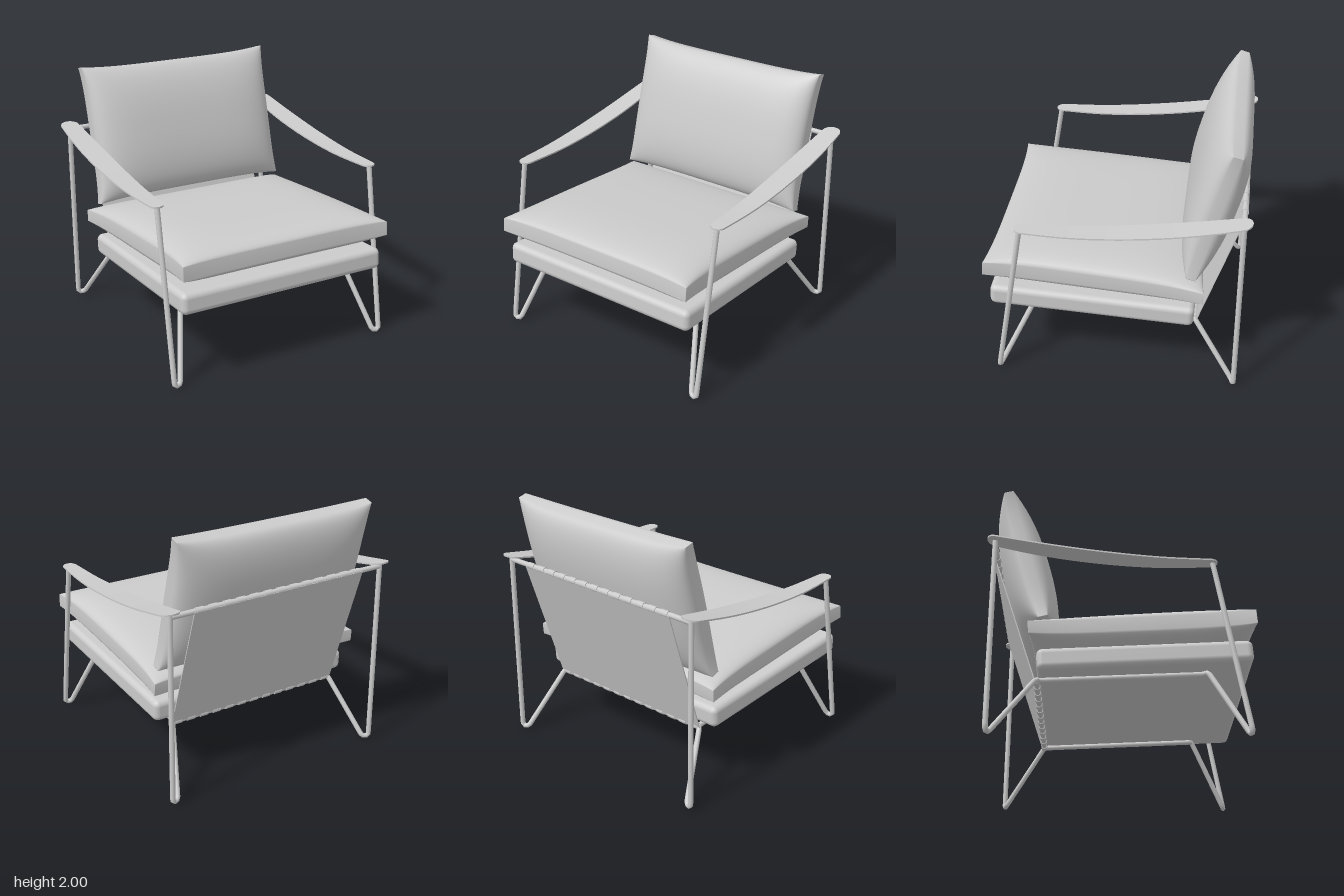
import * as THREE from 'three';
import { mergeVertices } from 'three/addons/utils/BufferGeometryUtils.js';
import { RoundedBoxGeometry } from 'three/addons/geometries/RoundedBoxGeometry.js';

const V = (x, y, z) => new THREE.Vector3(x, y, z);

// Stuffed cushion lying flat: thin rim, full middle, sides drawn in between the corners
function cushionGeometry({ w, l, h, rim, nu, nv, pinchX, pinchZ, wedgeX = 0, wedgeH = 0 }) {
  let g = new THREE.BoxGeometry(2, 2, 2, 32, 2, 32);
  g.deleteAttribute('uv');
  g.deleteAttribute('normal');
  g = mergeVertices(g);
  const p = g.attributes.position;
  for (let i = 0; i < p.count; i++) {
    const u = Math.sin(p.getX(i) * Math.PI / 2), v = Math.sin(p.getZ(i) * Math.PI / 2);
    const full = Math.sqrt(Math.max(0, (1 - Math.abs(u) ** nu) * (1 - Math.abs(v) ** nv)));
    const half = (rim + (h - rim) * full) * (1 + wedgeH * v);
    p.setXYZ(i,
      u * (w - pinchX * (1 - v ** 4) - wedgeX * v),
      p.getY(i) * half,
      v * (l - pinchZ * (1 - u ** 4)));
  }
  g.computeVertexNormals();
  return g;
}

// Bent rod through corner points, each corner rounded
function rodGeometry(points, radius, bend) {
  const path = new THREE.CurvePath();
  let from = points[0];
  for (let i = 1; i < points.length - 1; i++) {
    const c = points[i];
    const toward = (q) => c.clone().add(q.clone().sub(c).setLength(Math.min(bend, q.distanceTo(c) * 0.48)));
    const a = toward(points[i - 1]), b = toward(points[i + 1]);
    path.add(new THREE.LineCurve3(from, a));
    path.add(new THREE.QuadraticBezierCurve3(a, c, b));
    from = b;
  }
  path.add(new THREE.LineCurve3(from, points[points.length - 1]));
  return new THREE.TubeGeometry(path, 220, radius, 12);
}

// Thin armrest blade, rising to the back, round at both ends
function armGeometry() {
  const g = new THREE.BoxGeometry(2, 0.012, 2, 4, 1, 48);
  const rise = new THREE.CatmullRomCurve3([
    V(0, 1.52, -0.985), V(0, 1.435, -0.56), V(0, 1.375, -0.14), V(0, 1.34, 0.29), V(0, 1.338, 0.71)]);
  const p = g.attributes.position;
  for (let i = 0; i < p.count; i++) {
    const t = (1 - Math.cos((p.getZ(i) + 1) * Math.PI / 2)) / 2;
    const c = rise.getPoint(t), z = c.z;
    let half = z > -0.4 ? 0.09 - 0.04 * ((z + 0.4) / 1.1) ** 2 : 0.09 - 0.06 * (z + 0.4) ** 2;
    const end = Math.min((z + 0.985) / 0.06, (0.71 - z) / 0.05, 1);
    half *= Math.sqrt(Math.max(0.001, 1 - (1 - end) ** 2));
    p.setXYZ(i, 0.91 + p.getX(i) * half, c.y + p.getY(i), z);
  }
  g.computeVertexNormals();
  return g;
}

export function createModel() {
  const model = new THREE.Group();
  model.name = 'loungeChair';
  const grey = new THREE.MeshStandardMaterial({ color: 0xcccccc });
  grey.name = 'lightGrey';
  const add = (name, geometry, x = 0, y = 0, z = 0, rx = 0) => {
    const m = new THREE.Mesh(geometry, grey);
    m.name = name;
    m.position.set(x, y, z);
    m.rotation.x = rx;
    model.add(m);
    return m;
  };

  // Upholstery
  add('seatBase', new RoundedBoxGeometry(1.72, 0.167, 1.55, 4, 0.045), 0, 0.624, 0.175, -0.055);
  add('seatCushion', cushionGeometry({
    w: 0.885, l: 0.825, h: 0.145, rim: 0.05, nu: 6, nv: 3,
    pinchX: 0.035, pinchZ: 0.03, wedgeX: 0.012, wedgeH: 0.07,
  }), 0, 0.868, 0.16, -0.07);
  add('backCushion', cushionGeometry({
    w: 0.83, l: 0.55, h: 0.185, rim: 0.035, nu: 5, nv: 2.5, pinchX: 0.025, pinchZ: 0.025,
  }), 0, 1.46, -0.708, -Math.PI / 2 - 0.267);

  // Side frames and armrests
  for (const s of [1, -1]) {
    const side = s > 0 ? 'left' : 'right';
    const P = (x, y, z) => V(s * x, y, z);
    add(side + 'Frame', rodGeometry([
      P(0.912, 1.34, 0.672), P(0.912, 0.02, 0.9), P(0.862, 0.02, 0.89),
      P(0.72, 0.545, 0.63), P(0.7, 0.535, 0.6), P(0.7, 0.475, -0.59),
      P(0.72, 0.475, -0.605), P(0.862, 0.02, -0.91), P(0.912, 0.02, -0.925),
      P(0.912, 1.505, -0.925),
    ], 0.02, 0.03));
    add(side + 'Armrest', armGeometry(), s > 0 ? 0 : -1.82);
  }

  // Cross bars with the sling's loops wrapped around them
  const bars = [['top', 0.912, 1.48, -0.925], ['bottom', 0.7, 0.475, -0.6]];
  for (const [where, half, y, z] of bars) {
    add(where + 'CrossBar', new THREE.CylinderGeometry(0.02, 0.02, half * 2, 12), 0, y, z).rotation.z = Math.PI / 2;
    for (let i = 0; i < 13; i++) {
      add(where + 'SlingLoop', new THREE.CylinderGeometry(0.025, 0.025, 0.065, 12), (i - 6) * 0.113, y, z)
        .rotation.z = Math.PI / 2;
    }
  }

  // Back sling stretched between the bars
  const dy = 1.48 - 0.475, dz = -0.945 + 0.615;
  add('backSling', new THREE.BoxGeometry(1.46, Math.hypot(dy, dz), 0.008),
    0, (1.48 + 0.475) / 2, (-0.945 - 0.615) / 2, Math.atan2(dz, dy));
  return model;
}
